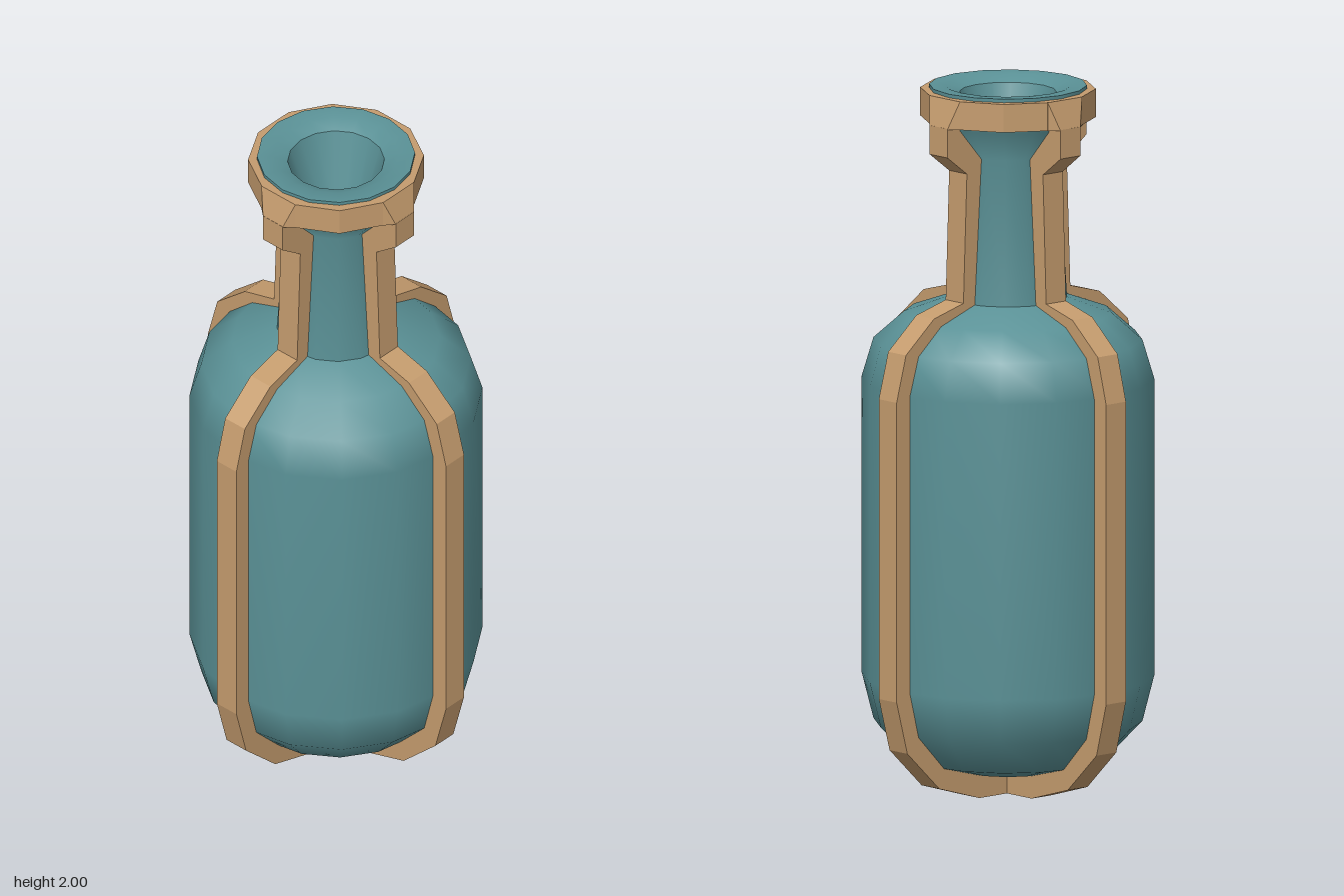
import * as THREE from 'three';
import { ConvexGeometry } from 'three/addons/geometries/ConvexGeometry.js';

const v2 = (pts) => pts.map(([x, y]) => new THREE.Vector2(x, y));

export function createModel() {
  const model = new THREE.Group();
  model.name = 'bottle';

  const glass = new THREE.MeshStandardMaterial({ color: 0x5a9196 });
  glass.name = 'teal glass';
  const strap = new THREE.MeshStandardMaterial({ color: 0xc59c6e });
  strap.name = 'tan strap';

  const add = (name, geometry, material, parent = model) => {
    const mesh = new THREE.Mesh(geometry, material);
    mesh.name = name;
    parent.add(mesh);
    return mesh;
  };

  // Glass: separate profiles keep the edges between them sharp
  const profiles = {
    base: [[0, 0.065], [0.15, 0.065]],
    body: [[0.15, 0.065], [0.28, 0.1], [0.375, 0.2], [0.408, 0.33], [0.408, 1.17],
      [0.375, 1.28], [0.29, 1.355], [0.165, 1.4]],
    neck: [[0.165, 1.395], [0.14, 1.81], [0.22, 1.9], [0.22, 2]],
    lip: [[0.22, 2], [0.175, 1.998], [0.135, 1.98]],
    mouthWall: [[0.135, 1.98], [0.072, 1.76]],
    mouthFloor: [[0.072, 1.76], [0, 1.76]],
  };
  for (const [name, pts] of Object.entries(profiles)) {
    add(name, new THREE.LatheGeometry(v2(pts), 16), glass);
  }

  // Twelve-sided collar around the lip
  const collarProfile = v2([[0.2, 1.91], [0.245, 1.91], [0.245, 1.99], [0.2, 1.99]]);
  const collar = new THREE.LatheGeometry(collarProfile, 12, Math.PI / 12).toNonIndexed();
  collar.computeVertexNormals();
  add('collar', collar, strap);

  // Strap outline: outer edge going up, inner edge (sunk into the glass) coming down
  const strapShape = new THREE.Shape(v2([
    [0, 0], [0.14, 0], [0.29, 0.045], [0.41, 0.16], [0.45, 0.31], [0.45, 1.16],
    [0.415, 1.29], [0.31, 1.38], [0.2, 1.41], [0.187, 1.775], [0.26, 1.83], [0.26, 1.912],
    [0.2, 1.912], [0.2, 1.89], [0.125, 1.81], [0.145, 1.39], [0.28, 1.34],
    [0.36, 1.27], [0.393, 1.165], [0.393, 0.335], [0.36, 0.21], [0.27, 0.115], [0.14, 0.08], [0, 0.08],
  ]));
  const width = 0.074;
  const strapGeometry = new THREE.ExtrudeGeometry(strapShape, { depth: width, bevelEnabled: false });
  strapGeometry.translate(0, 0, -width / 2);

  // Flared clasp joining each strap to the collar
  const claspPoints = [];
  for (const s of [-1, 1]) {
    for (const [x, y, z] of [[0.2, 1.91, 0.064], [0.2, 1.99, 0.064], [0.237, 1.91, 0.064],
      [0.237, 1.99, 0.064], [0.26, 1.91, 0.037]]) {
      claspPoints.push(new THREE.Vector3(x, y, z * s));
    }
  }
  const claspGeometry = new ConvexGeometry(claspPoints);

  for (let i = 0; i < 4; i++) {
    const side = new THREE.Group();
    side.name = 'strapAssembly' + (i + 1);
    side.rotation.y = i * Math.PI / 2;
    add('strap', strapGeometry, strap, side);
    add('clasp', claspGeometry, strap, side);
    model.add(side);
  }
  return model;
}
